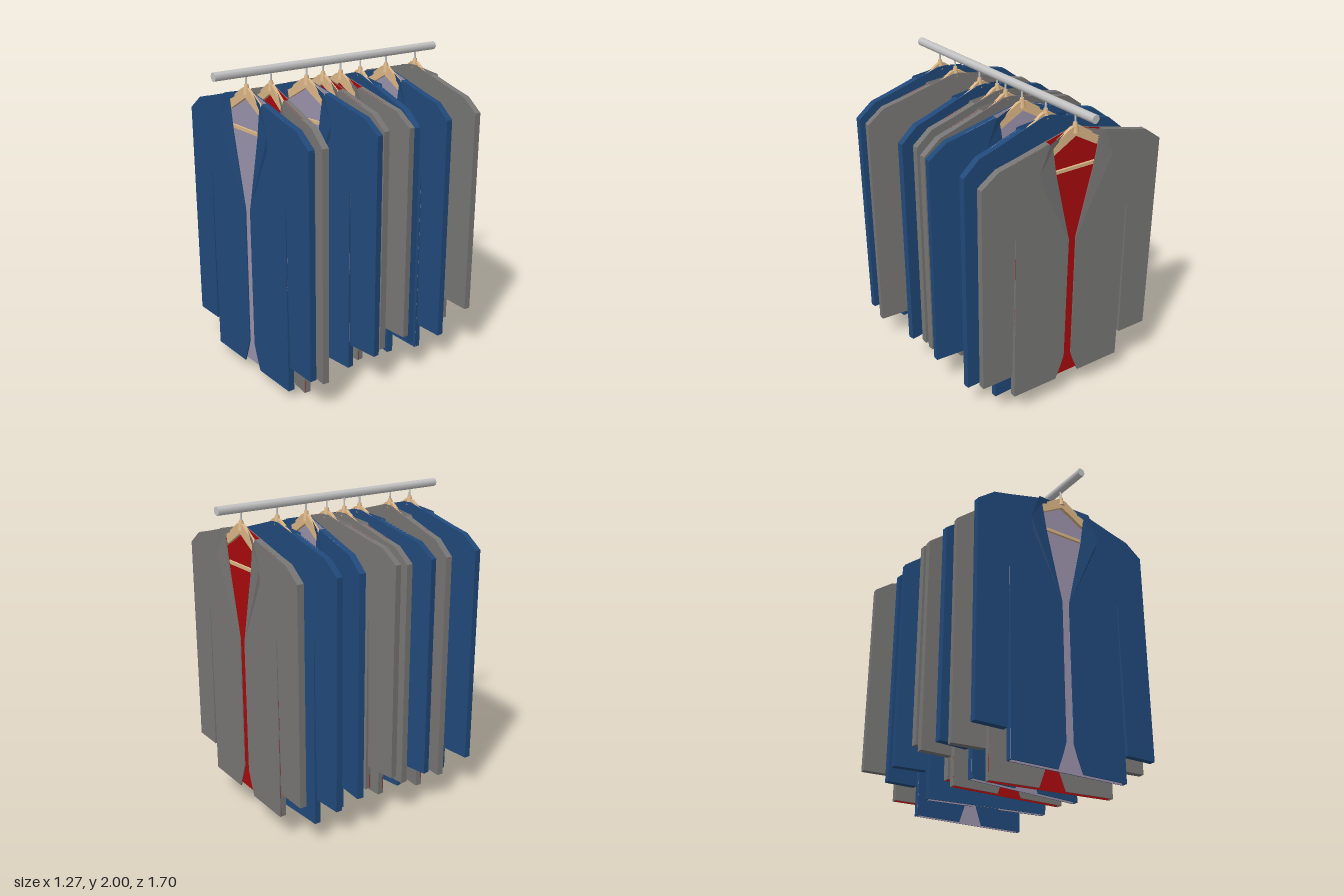
import * as THREE from 'three';

const mat = (name, color, side = THREE.DoubleSide) => {
  const m = new THREE.MeshStandardMaterial({ color, side });
  m.name = name;
  return m;
};

// flat cloth panel from outline points, spanning z0..z1; s = -1 mirrors it
function panel(name, pts, z0, z1, material, s = 1) {
  const shape = new THREE.Shape(pts.map(([x, y]) => new THREE.Vector2(x * s, y)));
  const geo = new THREE.ExtrudeGeometry(shape, { depth: z1 - z0, bevelEnabled: false });
  geo.translate(0, 0, z0);
  const mesh = new THREE.Mesh(geo, material);
  mesh.name = name;
  return mesh;
}

// folded surface from 3D points and triangles
function folded(name, pts, tris, material, s) {
  const geo = new THREE.BufferGeometry();
  const pos = [];
  for (const t of tris) {
    const order = s > 0 ? t : [t[0], t[2], t[1]];
    for (const i of order) pos.push(pts[i][0] * s, pts[i][1], pts[i][2]);
  }
  geo.setAttribute('position', new THREE.Float32BufferAttribute(pos, 3));
  geo.computeVertexNormals();
  const mesh = new THREE.Mesh(geo, material);
  mesh.name = name;
  return mesh;
}

const BACK = -0.022, FRONT = 0.02, TOP = 1.865;

const frontPts = [[0.165, 1.78], [0.19, 1.823], [0.405, 1.765], [0.405, 0.06], [0.088, 0.06],
  [0.05, 0.16], [0.028, 0.23], [0.026, 1.13], [0.135, 1.6]];
const sleevePts = [[0.404, 1.765], [0.52, 1.737], [0.635, 1.65], [0.635, 0.235], [0.425, 0.235], [0.412, 1.25], [0.404, 1.26]];
const backHalf = [[0.03, TOP], [0.405, 1.765], [0.405, 0.06]];
const backPts = [...backHalf, ...backHalf.map(([x, y]) => [-x, y]).reverse()];
const shoulderPts = [[0.19, 1.823], [0.405, 1.765], [0.405, 1.755], [0.19, 1.813]];
const sidePts = [[0.397, 1.26], [0.405, 1.26], [0.405, 0.06], [0.397, 0.06]];

// lapel and collar: neck, collar top, notch point, fold end, fold middle, fold top
const lapelPts = [[0.025, TOP, -0.016], [0.195, 1.825, 0.036], [0.26, 1.65, 0.037],
  [0.028, 1.13, 0.021], [0.135, 1.6, 0.023], [0.166, 1.785, 0.024], [0.235, 1.56, 0.022]];
const lapelTris = [[0, 5, 1], [5, 2, 1], [5, 4, 2], [4, 3, 2], [2, 3, 6]];

function makeJacket(cloth, lining) {
  const g = new THREE.Group();
  g.name = 'jacket';
  g.add(panel('backPanel', backPts, BACK, BACK + 0.006, cloth));
  g.add(panel('backLining', backPts.map(([x, y]) => [x * 0.985, y - 0.001]), BACK + 0.006, BACK + 0.009, lining));
  for (const s of [1, -1]) {
    g.add(panel('frontPanel', frontPts, FRONT - 0.006, FRONT, cloth, s));
    g.add(panel('frontLining', frontPts, FRONT - 0.008, FRONT - 0.006, lining, s));
    g.add(panel('sleeve', sleevePts, BACK, FRONT, cloth, s));
    g.add(panel('shoulderSeam', shoulderPts, BACK, FRONT, cloth, s));
    g.add(panel('sideSeam', sidePts, BACK, FRONT, cloth, s));
    g.add(folded('lapel', lapelPts, lapelTris, cloth, s));
  }
  return g;
}

function makeHanger(wood, metal) {
  const g = new THREE.Group();
  g.name = 'hanger';
  const add = (name, geo, m, y) => {
    const mesh = new THREE.Mesh(geo, m);
    mesh.name = name;
    mesh.position.y = y;
    g.add(mesh);
  };
  add('hook', new THREE.CylinderGeometry(0.006, 0.006, 0.07, 8), metal, 1.92);
  add('neck', new THREE.CylinderGeometry(0.012, 0.024, 0.06, 8), wood, 1.875);
  add('crossbar', new THREE.BoxGeometry(0.78, 0.02, 0.014), wood, 1.625);
  // sloping arms
  const arm = [[0, 1.885], [0.03, 1.88], [0.165, 1.795], [0.42, 1.68], [0.42, 1.615], [0.14, 1.745], [0, 1.825]];
  for (const s of [1, -1]) g.add(panel('arm', arm, -0.01, 0.011, wood, s));
  return g;
}

export function createModel() {
  const blue = mat('blue cloth', 0x20497a);
  const grey = mat('grey cloth', 0x777675);
  const lilac = mat('lilac lining', 0x9a92aa);
  const red = mat('red lining', 0xa80a0c);
  const wood = mat('light wood', 0xdcb686);
  const metal = mat('rail metal', 0xc4c4c4);

  const model = new THREE.Group();
  model.name = 'clothesRail';

  const rail = new THREE.Mesh(new THREE.CylinderGeometry(0.027, 0.027, 1.7, 8), metal);
  rail.name = 'rail';
  rail.rotation.x = Math.PI / 2;
  rail.position.y = 1.973;
  model.add(rail);

  // z, x, turn, width scale, length scale, blue?
  const PI = Math.PI;
  const rows = [
    [0.632, 0, 0, 1, 1, true],
    [0.46, 0, -0.118, 1, 1.033, false],
    [0.2, 0, 0.087, 1, 1, true],
    [0.055, -0.027, 0, 0.965, 1, false],
    [-0.062, 0, 0.052, 1, 0.964, false],
    [-0.22, 0, PI - 0.122, 1, 1, true],
    [-0.435, 0, 0, 0.945, 1.033, true],
    [-0.688, 0, PI - 0.068, 1, 0.945, false],
  ];
  for (const [z, x, turn, w, len, isBlue] of rows) {
    const unit = new THREE.Group();
    unit.name = 'hangingJacket';
    const jacket = makeJacket(isBlue ? blue : grey, isBlue ? lilac : red);
    jacket.scale.set(w, len, 1);
    jacket.position.y = TOP * (1 - len);
    unit.add(jacket, makeHanger(wood, metal));
    unit.position.set(x, 0, z);
    unit.rotation.y = turn;
    model.add(unit);
  }
  return model;
}
